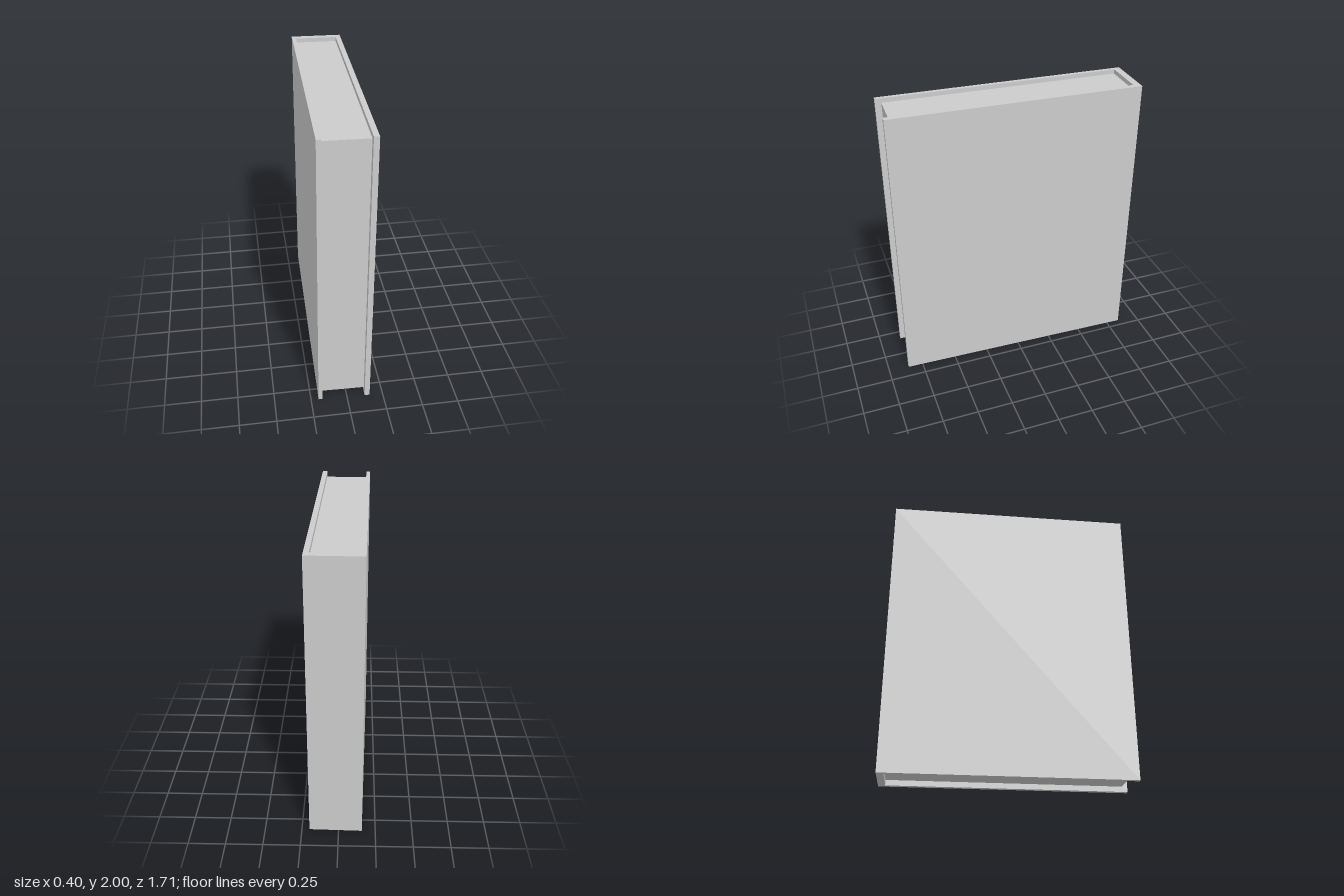
import * as THREE from 'three';

export function createModel() {
  const book = new THREE.Group();
  book.name = 'book';
  const material = new THREE.MeshStandardMaterial({ color: 0xcccccc, flatShading: true });

  const height = 2, w = 0.1785, d = 0.852; // w and d are half width and half depth
  const innerLeft = w - 0.035, innerRight = -w + 0.028, innerBack = -d + 0.048;

  // Cover: U-shaped plan (two boards and a spine), extruded upward; shape y is -z
  const plan = new THREE.Shape([
    [-w, d], [innerRight, d], [innerRight, innerBack], [innerLeft, innerBack],
    [innerLeft, d], [w, d], [w, -d], [-w, -d],
  ].map(([x, z]) => new THREE.Vector2(x, -z)));
  const coverGeometry = new THREE.ExtrudeGeometry(plan, { depth: height, bevelEnabled: false });
  coverGeometry.rotateX(-Math.PI / 2);
  const cover = new THREE.Mesh(coverGeometry, material);
  cover.name = 'cover';
  book.add(cover);

  // Page block: set back from the top, bottom and front edges of the boards
  const bottom = 0.037, top = 1.97, front = 0.811;
  const pages = new THREE.Mesh(
    new THREE.BoxGeometry(innerLeft - innerRight, top - bottom, front - innerBack), material);
  pages.position.set((innerLeft + innerRight) / 2, (top + bottom) / 2, (front + innerBack) / 2);
  pages.name = 'pages';
  book.add(pages);

  // The book stands slightly turned
  book.rotation.y = -0.0235;
  const model = new THREE.Group();
  model.add(book);
  return model;
}
